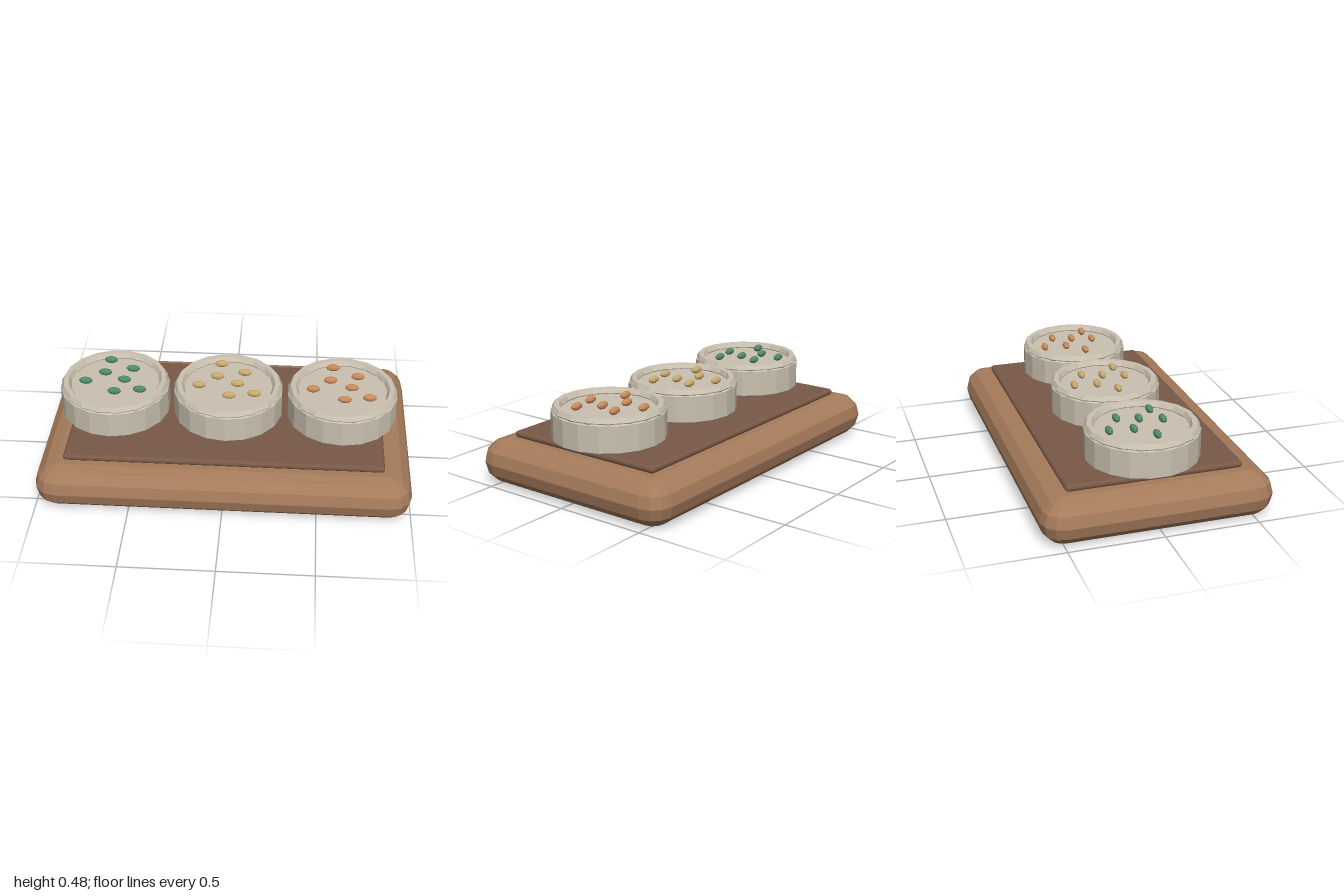
import * as THREE from 'three';
import { ConvexGeometry } from 'three/addons/geometries/ConvexGeometry.js';

const mat = (name, color) => {
  const m = new THREE.MeshStandardMaterial({ color, flatShading: true });
  m.name = name;
  return m;
};

// Box with faceted round edges: hull of a coarse sphere placed at each corner
function softBox(w, h, d, r) {
  const points = [];
  for (const sx of [-1, 1]) for (const sy of [-1, 1]) for (const sz of [-1, 1])
    for (let i = 0; i <= 3; i++) for (let j = 0; j <= 3; j++) {
      if (i === 3 && j > 0) continue;
      const a = i * Math.PI / 6, b = j * Math.PI / 6;
      points.push(new THREE.Vector3(
        sx * (w / 2 - r + r * Math.cos(a) * Math.cos(b)),
        sy * (h / 2 - r + r * Math.sin(a)),
        sz * (d / 2 - r + r * Math.cos(a) * Math.sin(b))));
    }
  return new ConvexGeometry(points);
}

export function createModel() {
  const model = new THREE.Group();
  model.name = 'servingBoard';
  const wood = mat('light wood', 0xa67b5b);
  const darkWood = mat('dark wood', 0x785946);
  const ceramic = mat('ceramic', 0xcac1b0);
  const seedMats = [mat('green', 0x4f8a6b), mat('yellow', 0xc9aa6c), mat('orange', 0xc98a58)];

  const add = (parent, name, geometry, material, x = 0, y = 0, z = 0) => {
    const mesh = new THREE.Mesh(geometry, material);
    mesh.name = name;
    mesh.position.set(x, y, z);
    parent.add(mesh);
    return mesh;
  };

  // Board and its raised panel
  add(model, 'board', softBox(2, 0.24, 1.22, 0.118), wood, 0, 0.12);
  add(model, 'panel', softBox(1.7, 0.036, 0.93, 0.0175), darkWood, 0, 0.257);

  // Dish body profile, rim ring and seed shape shared by all dishes
  const profile = [[0, 0.283], [0.294, 0.283], [0.3, 0.289], [0.3, 0.43], [0.294, 0.436], [0, 0.436]]
    .map(([x, y]) => new THREE.Vector2(x, y));
  const body = new THREE.LatheGeometry(profile, 18);
  const rim = new THREE.TorusGeometry(0.27, 0.027, 6, 18).rotateX(-Math.PI / 2);
  const seed = new THREE.SphereGeometry(1, 10, 6).scale(0.038, 0.02, 0.019);
  const spots = [[-0.05, -0.19], [0.085, -0.11], [-0.065, -0.065], [0.05, 0],
    [-0.16, 0.025], [0.145, 0.09], [0.01, 0.115]];

  seedMats.forEach((seedMat, i) => {
    const dish = new THREE.Group();
    dish.name = ['rightDish', 'middleDish', 'leftDish'][i];
    dish.position.x = (i - 1) * 0.624;
    add(dish, 'dishBody', body, ceramic);
    add(dish, 'dishRim', rim, ceramic, 0, 0.441);
    for (const [x, z] of spots) add(dish, 'seed', seed, seedMat, x, 0.46, z);
    model.add(dish);
  });
  return model;
}
